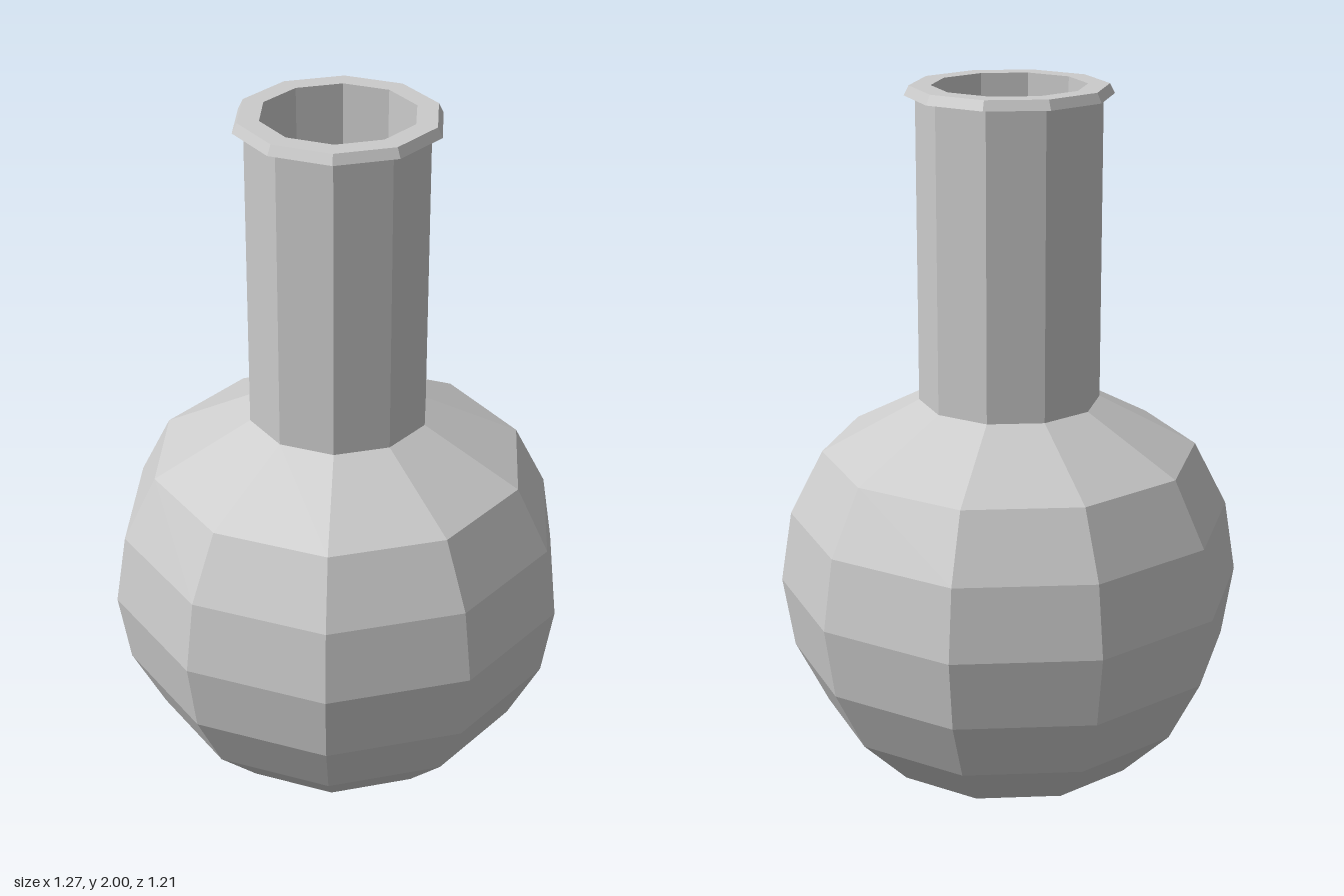
import * as THREE from 'three';

const SIDES = 10;
const material = new THREE.MeshStandardMaterial({ color: 0xcccccc, flatShading: true });

// Ten-sided turned part with a corner on the x axis; the profile runs bottom to top on the outside
function turned(name, profile) {
  const points = profile.map(([r, y]) => new THREE.Vector2(r, y));
  const mesh = new THREE.Mesh(new THREE.LatheGeometry(points, SIDES, Math.PI / 2), material);
  mesh.name = name;
  return mesh;
}

export function createModel() {
  const group = new THREE.Group();
  group.name = 'flask';

  const R = 0.634, neckR = 0.246, neckY = 1.15, lipY = 1.974;

  // Round bulb: sphere rings every 18 degrees, then a sloping shoulder to the neck
  const bulb = [];
  for (let i = 0; i <= 7; i++) {
    const a = (i * Math.PI) / 10;
    bulb.push([R * Math.sin(a), R - R * Math.cos(a)]);
  }
  bulb.push([neckR, neckY]);
  group.add(turned('bulb', bulb));

  // Straight neck
  group.add(turned('neck', [[neckR, neckY], [neckR, lipY]]));

  // Flared lip with a bevelled edge and flat top
  group.add(turned('lip', [[neckR, lipY], [0.275, lipY], [0.262, 2], [0.205, 2]]));

  // Slightly tapered bore with a flat floor
  group.add(turned('bore', [[0.205, 2], [0.193, 1.1], [0, 1.1]]));

  return group;
}
